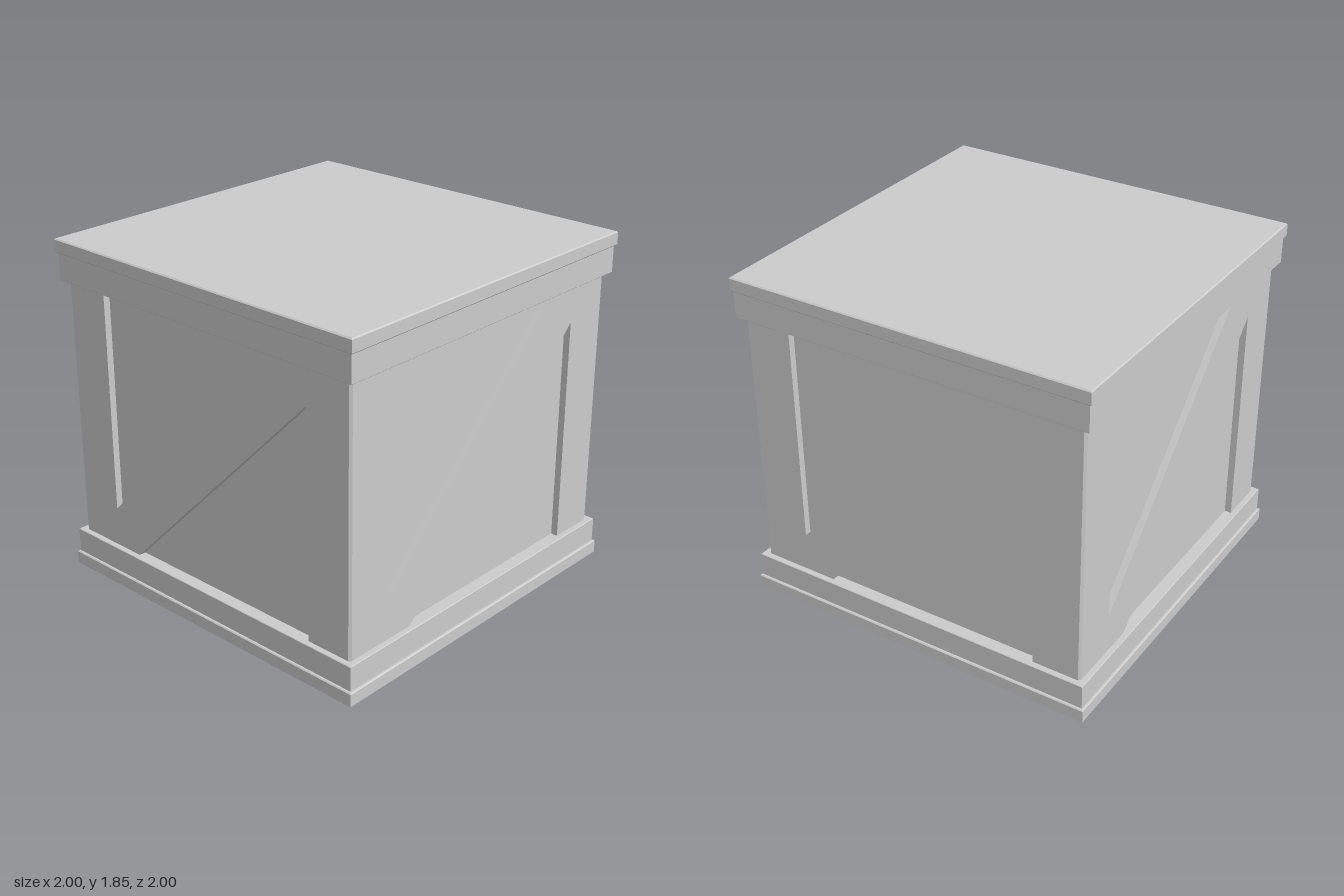
import * as THREE from 'three';

const material = new THREE.MeshStandardMaterial({ color: 0xcccccc, flatShading: true });

const FACE = 0.957;   // outer face of posts and braces
const PANEL = 0.92;   // recessed panel face
const POST = 0.69;    // inner edge of posts
const LOW = 0.21, HIGH = 1.63; // clear height between the bands

function addMesh(parent, name, geometry) {
  const mesh = new THREE.Mesh(geometry, material);
  mesh.name = name;
  parent.add(mesh);
  return mesh;
}

// Square slab with small bevels, made as a four-sided lathe
function slab(half, y0, y1, bevel) {
  const profile = [
    [0, y0], [half - bevel, y0], [half, y0 + bevel],
    [half, y1 - bevel], [half - bevel, y1], [0, y1],
  ].map(([r, y]) => new THREE.Vector2(r * Math.SQRT2, y));
  return new THREE.LatheGeometry(profile, 4, Math.PI / 4);
}

function extrude(points, depth) {
  const shape = new THREE.Shape(points.map(([x, y]) => new THREE.Vector2(x, y)));
  return new THREE.ExtrudeGeometry(shape, { depth, bevelEnabled: false });
}

export function createModel() {
  const crate = new THREE.Group();
  crate.name = 'crate';

  // Horizontal layers
  addMesh(crate, 'basePlate', slab(1, 0, 0.077, 0.005));
  addMesh(crate, 'lowerBand', slab(0.988, 0.077, LOW + 0.003, 0.003));
  addMesh(crate, 'upperBand', slab(0.988, HIGH, 1.775, 0.003));
  addMesh(crate, 'lid', slab(1, 1.775, 1.85, 0.006));

  // Recessed side panels
  const core = new THREE.BoxGeometry(PANEL * 2, HIGH - LOW, PANEL * 2);
  core.translate(0, (LOW + HIGH) / 2, 0);
  addMesh(crate, 'sidePanels', core);

  // L-shaped corner post with a chamfered outer edge
  const c = FACE - 0.012;
  const post = extrude([
    [POST, FACE], [POST, PANEL], [PANEL, PANEL], [PANEL, POST],
    [FACE, POST], [FACE, c], [c, FACE],
  ], HIGH - LOW);
  post.rotateX(Math.PI / 2).translate(0, HIGH, 0);

  // Diagonal brace, trimmed to the posts and bands
  const brace = extrude([
    [-POST, LOW], [-0.53, LOW], [POST, 1.435],
    [POST, HIGH], [0.5, HIGH], [-POST, 0.43],
  ], FACE - PANEL);
  brace.translate(0, 0, PANEL);

  // Repeat around the four sides
  for (const [i, side] of ['front', 'left', 'back', 'right'].entries()) {
    const group = new THREE.Group();
    group.name = side + 'Side';
    group.rotation.y = i * Math.PI / 2;
    addMesh(group, 'cornerPost', post);
    addMesh(group, 'diagonalBrace', brace);
    crate.add(group);
  }
  return crate;
}
